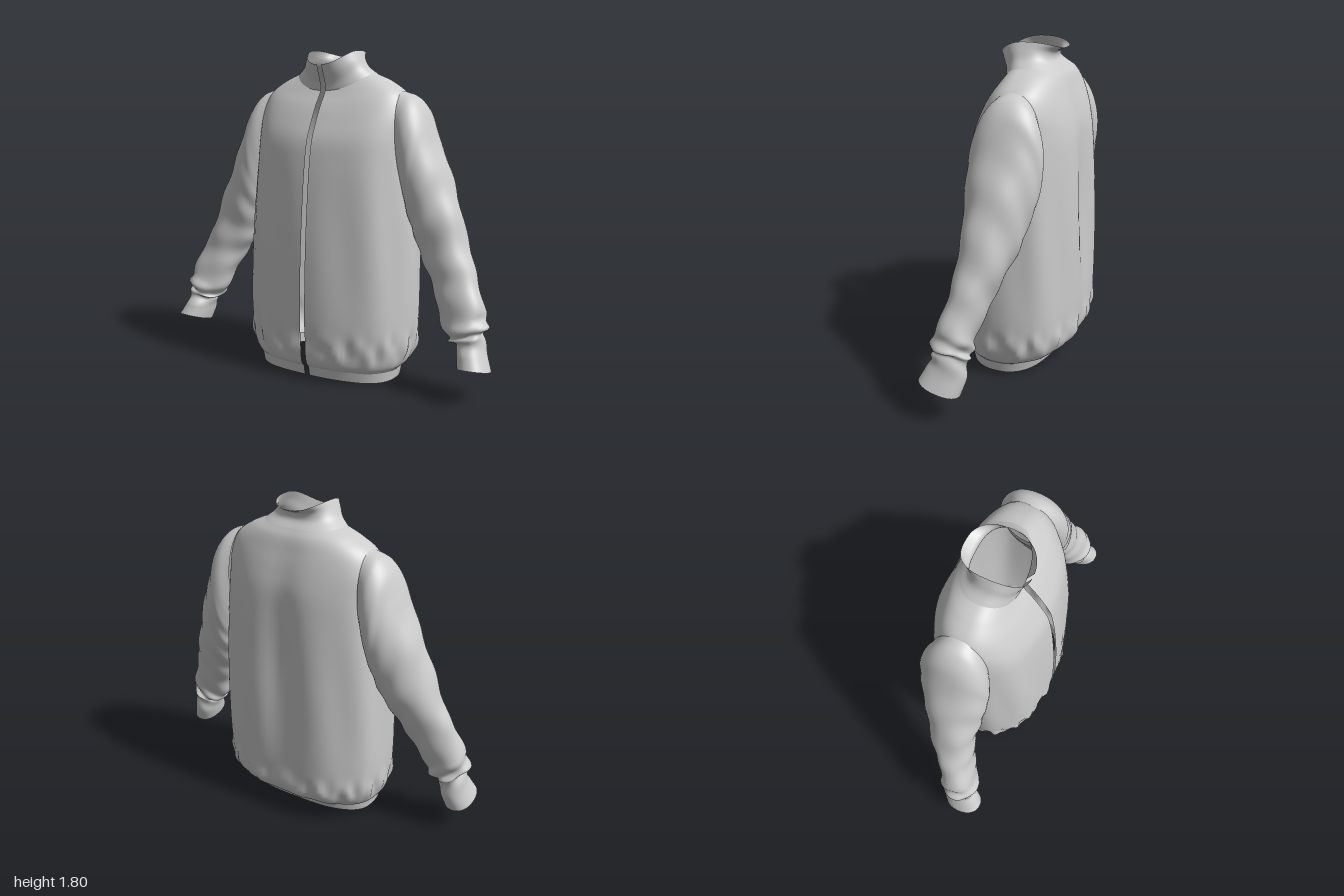
import * as THREE from 'three';

const material = new THREE.MeshStandardMaterial({ color: 0xcccccc, side: THREE.DoubleSide });
const bump = (v, centre, width) => Math.exp(-(((v - centre) / width) ** 2));
const spow = (v, p) => Math.sign(v) * Math.abs(v) ** p;

// Smooth surface through a stack of rings; place(row, u) gives a point at u = 0..1 round a ring
function loft(name, rows, place, { around, along, closed = false, fold = null }) {
  const positions = [], index = [], columns = closed ? around : around + 1;
  for (let i = 0; i < columns; i++) {
    const u = i / around;
    const line = new THREE.CatmullRomCurve3(rows.map((row) => place(row, u)), false, 'centripetal');
    for (let j = 0; j <= along; j++) {
      const p = line.getPoint(j / along);
      if (fold) fold(p, u, j / along);
      positions.push(p.x, p.y, p.z);
    }
  }
  for (let i = 0; i < around; i++) {
    for (let j = 0; j < along; j++) {
      const a = i * (along + 1) + j, b = ((i + 1) % columns) * (along + 1) + j;
      index.push(a, b, b + 1, a, b + 1, a + 1);
    }
  }
  const geometry = new THREE.BufferGeometry();
  geometry.setAttribute('position', new THREE.Float32BufferAttribute(positions, 3));
  geometry.setIndex(index);
  geometry.computeVertexNormals();
  const mesh = new THREE.Mesh(geometry, material);
  mesh.name = name;
  return mesh;
}

// Torso rings, hem to collar: half width, y at front / side / back, z at front / back
const TORSO = [
  [0.42, 0.02, 0.005, 0.04, 0.29, -0.21],
  [0.43, 0.075, 0.065, 0.09, 0.3, -0.225],
  [0.465, 0.1, 0.1, 0.11, 0.32, -0.28],
  [0.493, 0.18, 0.18, 0.17, 0.335, -0.325],
  [0.503, 0.32, 0.32, 0.32, 0.34, -0.335],
  [0.503, 0.6, 0.6, 0.6, 0.33, -0.335],
  [0.493, 0.9, 0.9, 0.9, 0.31, -0.33],
  [0.472, 1.2, 1.2, 1.2, 0.28, -0.32],
  [0.46, 1.33, 1.36, 1.36, 0.255, -0.305],
  [0.45, 1.43, 1.48, 1.46, 0.21, -0.28],
  [0.41, 1.51, 1.575, 1.55, 0.165, -0.25],
  [0.32, 1.56, 1.64, 1.63, 0.13, -0.22],
  [0.23, 1.59, 1.68, 1.67, 0.11, -0.19],
  [0.185, 1.63, 1.72, 1.71, 0.115, -0.155],
  [0.16, 1.68, 1.765, 1.745, 0.135, -0.16],
  [0.14, 1.73, 1.805, 1.77, 0.155, -0.21],
];

// Rounded ring that starts and ends at the open front
function torsoPoint([half, yFront, ySide, yBack, zFront, zBack], u) {
  const power = 0.82;
  const gap = Math.asin((0.014 / half) ** (1 / power));
  const a = gap + u * (2 * Math.PI - 2 * gap);
  const s = Math.sin(a), c = Math.cos(a), mid = (zFront + zBack) / 2;
  return new THREE.Vector3(
    half * spow(s, power) - 0.008 * Math.max(0, c) ** 4,
    ySide + ((c > 0 ? yFront : yBack) - ySide) * c * c,
    mid + (zFront - mid) * spow(c, power),
  );
}

// Soft drapes, a groove down the back and gathers above the hem
function torsoFold(p, u) {
  const a = u * Math.PI * 2, back = Math.max(0, -Math.cos(a));
  const drape = bump(p.y, 0.75, 0.5);
  const gather = bump(p.y, 0.2, 0.07);
  const shift = 0.007 * drape * Math.sin(9 * a + 1.5 * p.y)
    + gather * (0.008 * Math.sin(17 * a + 14 * p.y) + 0.006 * Math.sin(29 * a - 9 * p.y));
  p.x += shift * Math.sin(a);
  p.z += shift * Math.cos(a) + 0.03 * back * bump(p.x, 0, 0.09) * bump(p.y, 0.95, 0.5);
  p.y += 0.012 * gather * Math.sin(13 * a);
}

// Sleeve rings, shoulder to cuff: outer x, y, inner x, y, z at front / back
const SLEEVE = [
  [0.4, 1.59, 0.42, 1.12, 0.1, -0.2],
  [0.47, 1.565, 0.44, 1.05, 0.13, -0.235],
  [0.53, 1.5, 0.46, 0.98, 0.145, -0.245],
  [0.58, 1.38, 0.48, 0.91, 0.148, -0.23],
  [0.66, 1.2, 0.505, 0.83, 0.14, -0.2],
  [0.74, 1.0, 0.55, 0.73, 0.13, -0.155],
  [0.82, 0.78, 0.61, 0.62, 0.135, -0.095],
  [0.88, 0.63, 0.67, 0.5, 0.16, -0.045],
  [0.94, 0.49, 0.72, 0.38, 0.195, -0.005],
  [0.955, 0.41, 0.765, 0.32, 0.21, 0.005],
  [0.945, 0.36, 0.805, 0.3, 0.195, 0.015],
  [0.965, 0.27, 0.82, 0.235, 0.23, 0.015],
  [1.0, 0.185, 0.835, 0.175, 0.26, 0.04],
];

function sleeve(name, side) {
  const place = ([ox, oy, ix, iy, zFront, zBack], u) => {
    const a = u * Math.PI * 2, c = Math.cos(a), s = Math.sin(a);
    // the cuff end tips up towards the front
    const tip = 0.035 * bump(oy, 0.17, 0.12);
    return new THREE.Vector3(
      side * ((ox + ix) / 2 + ((ox - ix) / 2) * spow(c, 0.9)),
      (oy + iy) / 2 + ((oy - iy) / 2) * c + tip * s,
      (zFront + zBack) / 2 + ((zFront - zBack) / 2) * spow(s, 0.9),
    );
  };
  // Creases bunch up at the forearm and fade towards the shoulder
  const fold = (p, u, t) => {
    const a = u * Math.PI * 2;
    const amount = 0.012 * bump(t, 0.77, 0.09) + 0.005 * bump(t, 0.45, 0.2);
    const shift = amount * (Math.sin(60 * t + 2 * a) + 0.6 * Math.sin(34 * t - 3 * a + 1));
    p.x += side * shift * Math.cos(a);
    p.z += shift * Math.sin(a);
  };
  return loft(name, SLEEVE, place, { around: 48, along: 90, closed: true, fold });
}

export function createModel() {
  const jacket = new THREE.Group();
  jacket.name = 'jacket';
  jacket.add(
    loft('hemBand', TORSO.slice(0, 2), torsoPoint, { around: 120, along: 4, fold: torsoFold }),
    loft('body', TORSO.slice(1, 13), torsoPoint, { around: 120, along: 110, fold: torsoFold }),
    loft('collar', TORSO.slice(12), torsoPoint, { around: 120, along: 16, fold: torsoFold }),
    sleeve('leftSleeve', 1),
    sleeve('rightSleeve', -1),
  );
  return jacket;
}
